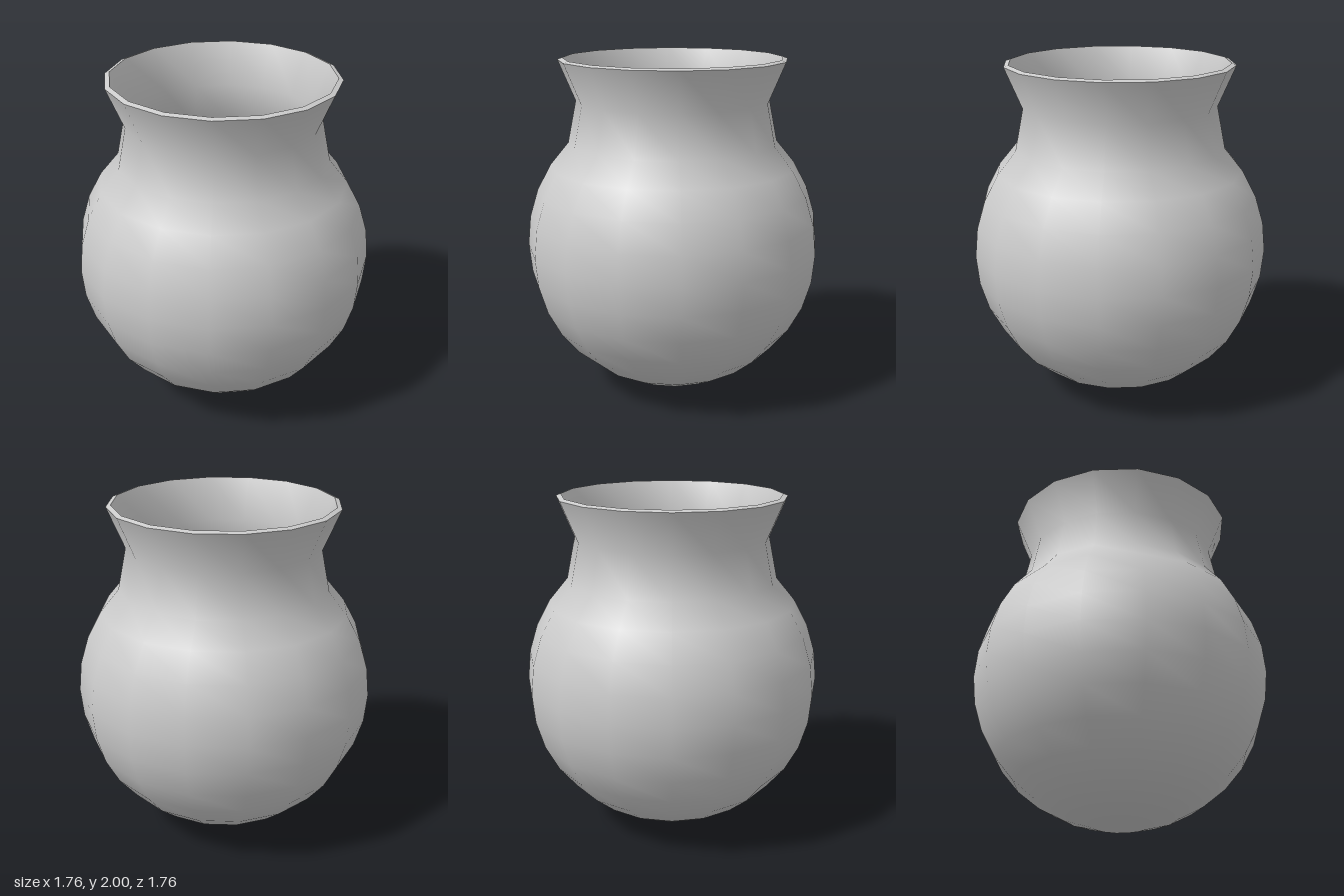
import * as THREE from 'three';

const SIDES = 16;
const CENTER_Y = 0.88;
const RADIUS = 0.88;
const WALL = 0.03;

// Profile from the bottom pole up the round belly, then neck and flared lip
function potProfile(radius, neck) {
  const points = [];
  for (let i = 0; i <= 12; i++) {
    const a = (i / 16) * Math.PI;
    points.push(new THREE.Vector2(i ? radius * Math.sin(a) : 0, CENTER_Y - radius * Math.cos(a)));
  }
  neck.forEach(([x, y]) => points.push(new THREE.Vector2(x, y)));
  return points;
}

export function createModel() {
  const group = new THREE.Group();
  group.name = 'pot';
  const material = new THREE.MeshStandardMaterial({ color: 0xcccccc });

  const addLathe = (name, points) => {
    const mesh = new THREE.Mesh(new THREE.LatheGeometry(points, SIDES), material);
    mesh.name = name;
    group.add(mesh);
  };

  const outer = potProfile(RADIUS, [[0.572, 1.75], [0.673, 1.99]]);
  const inner = potProfile(RADIUS - WALL, [[0.541, 1.75], [0.645, 2.0]]);

  // Outer wall, inner wall (reversed so it faces inwards) and the rim joining them
  addLathe('outerWall', outer);
  addLathe('innerWall', inner.slice().reverse());
  addLathe('rim', [outer[outer.length - 1], inner[inner.length - 1]]);

  return group;
}
